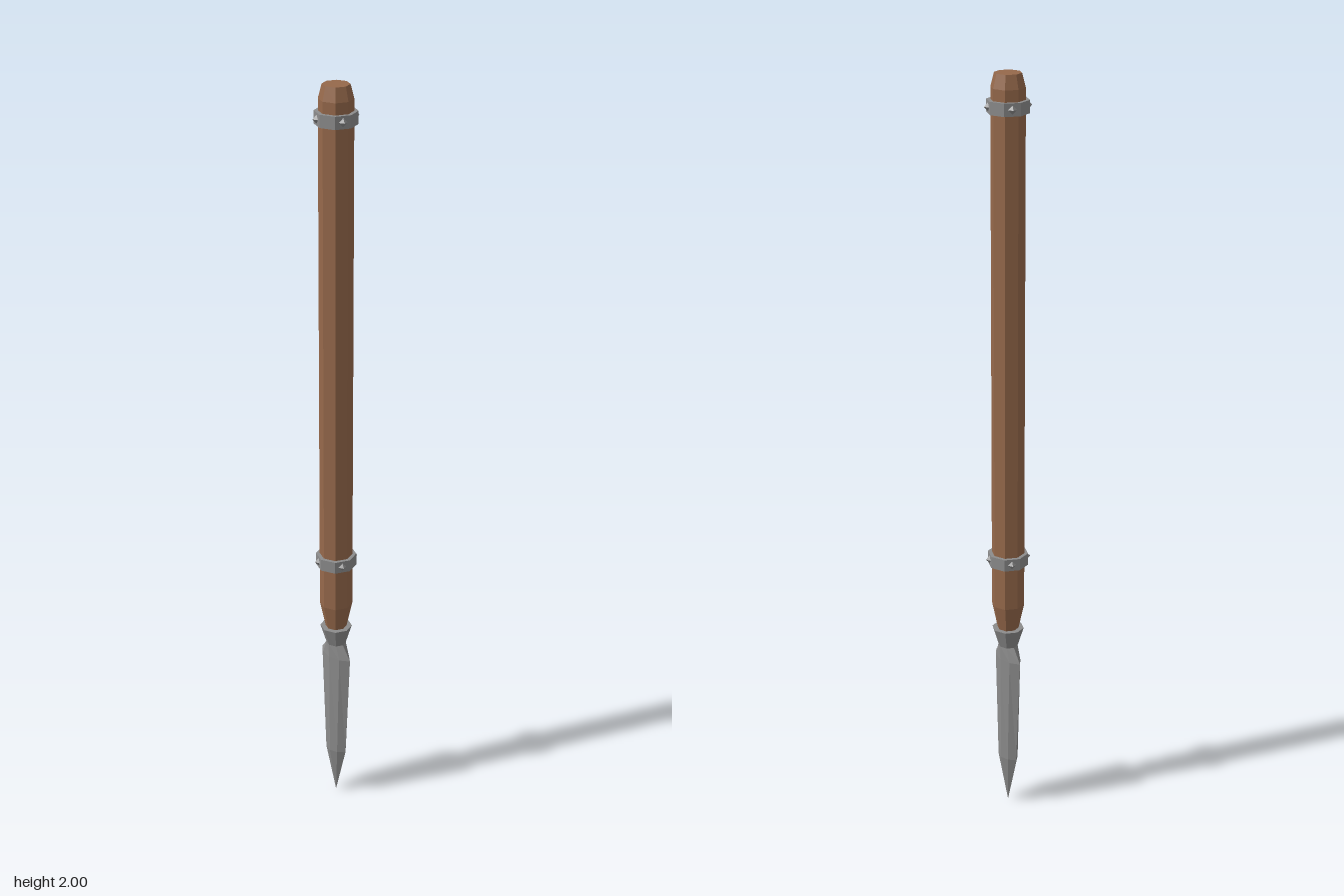
import * as THREE from 'three';

const wood = new THREE.MeshStandardMaterial({ color: 0x96694b, flatShading: true });
const iron = new THREE.MeshStandardMaterial({ color: 0x8c8c8c, flatShading: true });

// Eight-sided turned form from [radius, height] pairs, listed bottom to top
function octagonal(profile) {
  return new THREE.LatheGeometry(profile.map(([r, y]) => new THREE.Vector2(r, y)), 8);
}

function addMesh(parent, name, geometry, material) {
  const mesh = new THREE.Mesh(geometry, material);
  mesh.name = name;
  parent.add(mesh);
  return mesh;
}

// Blade and socket: levels of [height, half thickness x, half width z, edge sharpness]
function bladeGeometry() {
  const levels = [
    [0, 0, 0, 0.6],
    [0.14, 0.023, 0.038, 0.6],
    [0.44, 0.025, 0.055, 0.6],
    [0.478, 0.025, 0.027, 0],
    [0.53, 0.042, 0.042, 0],
    [0.53, 0, 0, 0],
  ];
  const geometry = octagonal(levels.map(([y]) => [1, y]));
  const pos = geometry.attributes.position;
  for (let i = 0; i < pos.count; i++) {
    const [y, thick, width, sharp] = levels[i % levels.length];
    const c = pos.getZ(i);
    pos.setXYZ(i, pos.getX(i) * thick, y, c * Math.pow(Math.abs(c), sharp) * width);
  }
  return geometry;
}

// Iron band with four pointed studs on alternate faces
function makeBand(name, y) {
  const band = new THREE.Group();
  band.name = name;
  band.position.y = y;
  const h = 0.016;
  addMesh(band, 'bandRing', octagonal([
    [0.04, -h], [0.053, -h], [0.053, h], [0.04, h], [0.04, -h],
  ]), iron);
  for (let i = 0; i < 4; i++) {
    const pivot = new THREE.Group();
    pivot.name = 'studPivot';
    pivot.rotation.y = -Math.PI / 8 + i * Math.PI / 2;
    const stud = addMesh(pivot, 'stud', new THREE.ConeGeometry(0.013, 0.012, 4), iron);
    stud.rotation.x = Math.PI / 2;
    stud.position.z = 0.053;
    band.add(pivot);
  }
  return band;
}

export function createModel() {
  const model = new THREE.Group();
  model.name = 'spear';

  // Wooden shaft, tapered at both ends
  addMesh(model, 'shaft', octagonal([
    [0, 0.5], [0.026, 0.52], [0.043, 0.6], [0.043, 1.965], [0.034, 2], [0, 2],
  ]), wood);

  // Iron blade pointing down
  addMesh(model, 'blade', bladeGeometry(), iron);

  model.add(makeBand('lowerBand', 0.732), makeBand('upperBand', 1.92));
  return model;
}
